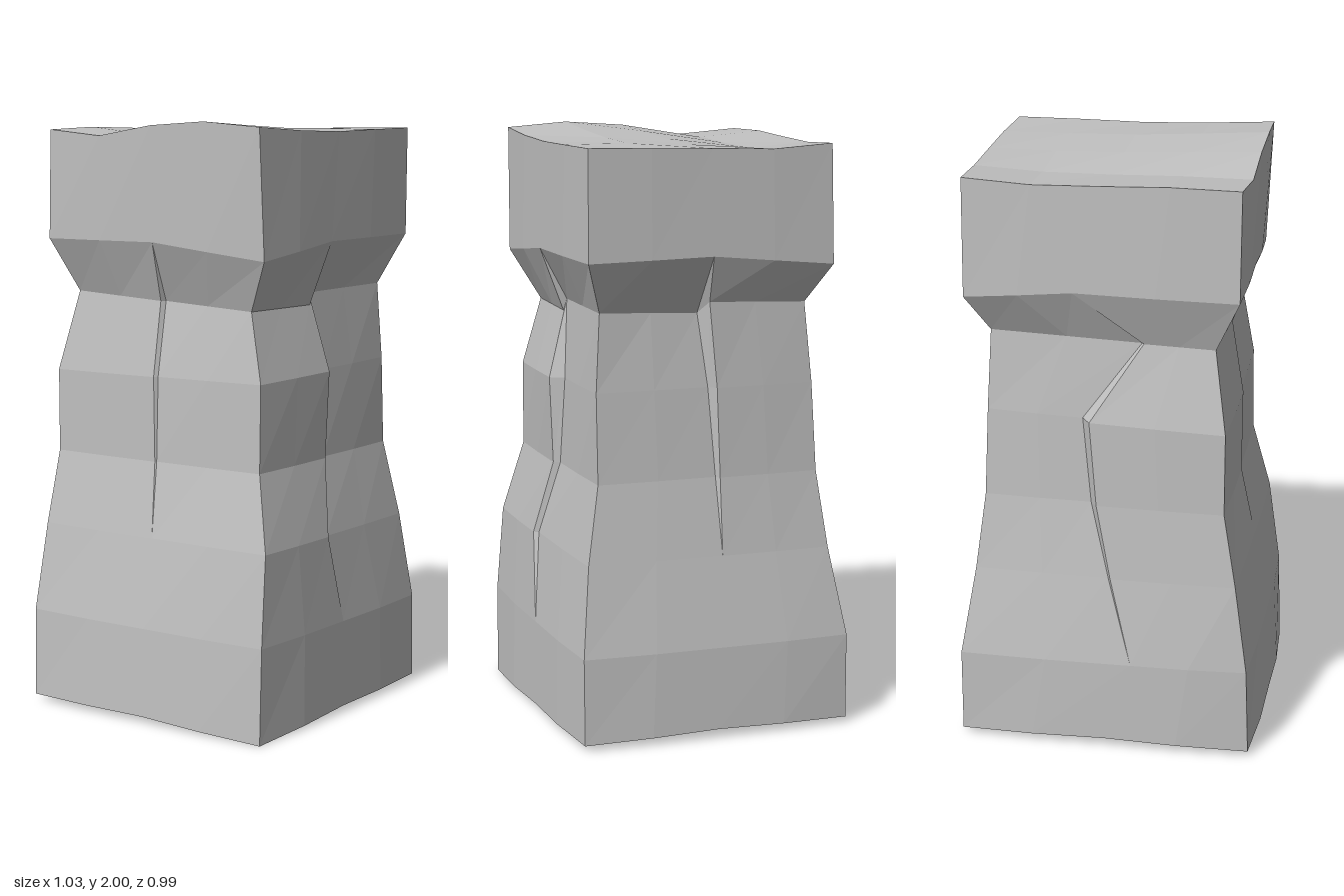
import * as THREE from 'three';

// Corner positions [x, y, z] from the ground up: front left edge, then around the pillar
const corners = [
  [[-.48, 0, .49], [-.47, .32, .49], [-.43, .62, .475], [-.375, .87, .41], [-.37, 1.16, .41], [-.34, 1.39, .35], [-.40, 1.56, .445], [-.42, 1.985, .44]],
  [[.505, .02, .44], [.5, .31, .44], [.455, .61, .41], [.415, .87, .365], [.4, 1.17, .365], [.39, 1.43, .35], [.475, 1.6, .41], [.48, 1.965, .41]],
  [[.48, .02, -.49], [.48, .31, -.49], [.435, .61, -.435], [.405, .87, -.4], [.395, 1.17, -.385], [.385, 1.44, -.36], [.455, 1.57, -.435], [.455, 1.965, -.425]],
  [[-.51, .02, -.455], [-.5, .32, -.46], [-.455, .62, -.44], [-.41, .87, -.42], [-.41, 1.15, -.42], [-.365, 1.42, -.36], [-.45, 1.6, -.42], [-.45, 1.965, -.41]],
];

// Crack on each side: position along the side and depth of the step, per level
const cracks = [
  { at: [.5, .5, .43, .49, .51, .44, .44, .5], step: [0, 0, .015, .02, .045, .01, 0, 0] },
  { at: [.5, .53, .55, .54, .53, .5, .5, .5], step: [0, 0, 0, -.015, -.03, -.045, 0, 0] },
  { at: [.5, .6, .52, .46, .42, .68, .4, .5], step: [0, 0, -.01, -.03, -.04, -.01, 0, 0] },
  { at: [.5, .5, .5, .5, .5, .5, .5, .5], step: [0, 0, 0, .005, .012, .015, 0, 0] },
];
const bulge = [.015, .01, .005, .005, .005, 0, .008, .008];

// Height changes along the top rim, at quarter points of each side
const rimHeights = [[-.01, -.013, -.006], [-.003, -.008, -.014], [-.01, -.004, .004], [-.022, .01, .02]];

// Five points of one side at one level; the crack has a point for each lip
function sidePoints(side, level) {
  const a = new THREE.Vector3(...corners[side][level]);
  const b = new THREE.Vector3(...corners[(side + 1) % 4][level]);
  const out = new THREE.Vector3(a.z - b.z, 0, b.x - a.x).normalize();
  const c = cracks[side].at[level], s = cracks[side].step[level];
  const gap = Math.min(.02, Math.abs(s) * .5), m = bulge[level];
  const neck = level === 5 && side < 2 ? .02 : 0;
  const lift = level === 6 ? .025 : level === 0 ? .012 : 0;
  const rim = level === 7 ? rimHeights[side] : [0, 0, 0];
  const p = (t, o, dy) => {
    const v = a.clone().lerp(b, t).addScaledVector(out, o);
    v.y += dy;
    return v;
  };
  return [
    a,
    p(c / 2, s / 4 + m, lift / 2 - neck / 2 + rim[0]),
    p(c - gap, s / 2 + m, lift - neck + rim[1]),
    p(c + gap, -s / 2 + m, lift + neck + rim[1]),
    p((1 + c) / 2, -s / 4 + m, lift / 2 + neck / 2 + rim[2]),
  ];
}

const ring = level => [0, 1, 2, 3].flatMap(side => sidePoints(side, level));

function addTriangle(list, a, b, c) {
  const area = b.clone().sub(a).cross(c.clone().sub(a)).length();
  if (area > 1e-8) for (const v of [a, b, c]) list.push(v.x, v.y, v.z);
}

function addQuad(list, a, b, c, d) {
  addTriangle(list, a, b, c);
  addTriangle(list, a, c, d);
}

function addWalls(list, from, to) {
  for (let level = from; level < to; level++) {
    const low = ring(level), high = ring(level + 1), n = low.length;
    for (let i = 0; i < n; i++) {
      const j = (i + 1) % n;
      addQuad(list, low[i], low[j], high[j], high[i]);
    }
  }
}

// Surface blended from the four edges of a ring
function addEnd(list, level, up) {
  const edge = side => {
    const p = sidePoints(side, level);
    return [p[0], p[1], p[2], p[4], new THREE.Vector3(...corners[(side + 1) % 4][level])];
  };
  const front = edge(0), right = edge(1), back = edge(2).reverse(), left = edge(3).reverse();
  const point = (i, j) => {
    const u = i / 4, v = j / 4;
    return new THREE.Vector3()
      .addScaledVector(front[i], 1 - v).addScaledVector(back[i], v)
      .addScaledVector(left[j], 1 - u).addScaledVector(right[j], u)
      .addScaledVector(front[0], -(1 - u) * (1 - v)).addScaledVector(front[4], -u * (1 - v))
      .addScaledVector(back[0], -(1 - u) * v).addScaledVector(back[4], -u * v);
  };
  for (let i = 0; i < 4; i++) for (let j = 0; j < 4; j++) {
    const q = [point(i, j), point(i + 1, j), point(i + 1, j + 1), point(i, j + 1)];
    if (!up) q.reverse();
    addQuad(list, ...q);
  }
}

function makePart(name, list, material) {
  const geometry = new THREE.BufferGeometry();
  geometry.setAttribute('position', new THREE.Float32BufferAttribute(list, 3));
  geometry.computeVertexNormals();
  const mesh = new THREE.Mesh(geometry, material);
  mesh.name = name;
  return mesh;
}

export function createModel() {
  const stone = new THREE.MeshStandardMaterial({ color: 0xc0c0c0 });
  stone.name = 'stone grey';
  const group = new THREE.Group();
  group.name = 'stonePillar';

  // Cracked, tapering shaft with its underside
  const shaft = [];
  addWalls(shaft, 0, 5);
  addEnd(shaft, 0, false);
  group.add(makePart('shaft', shaft, stone));

  // Flared block on top
  const capital = [];
  addWalls(capital, 5, 7);
  addEnd(capital, 7, true);
  group.add(makePart('capital', capital, stone));

  return group;
}
